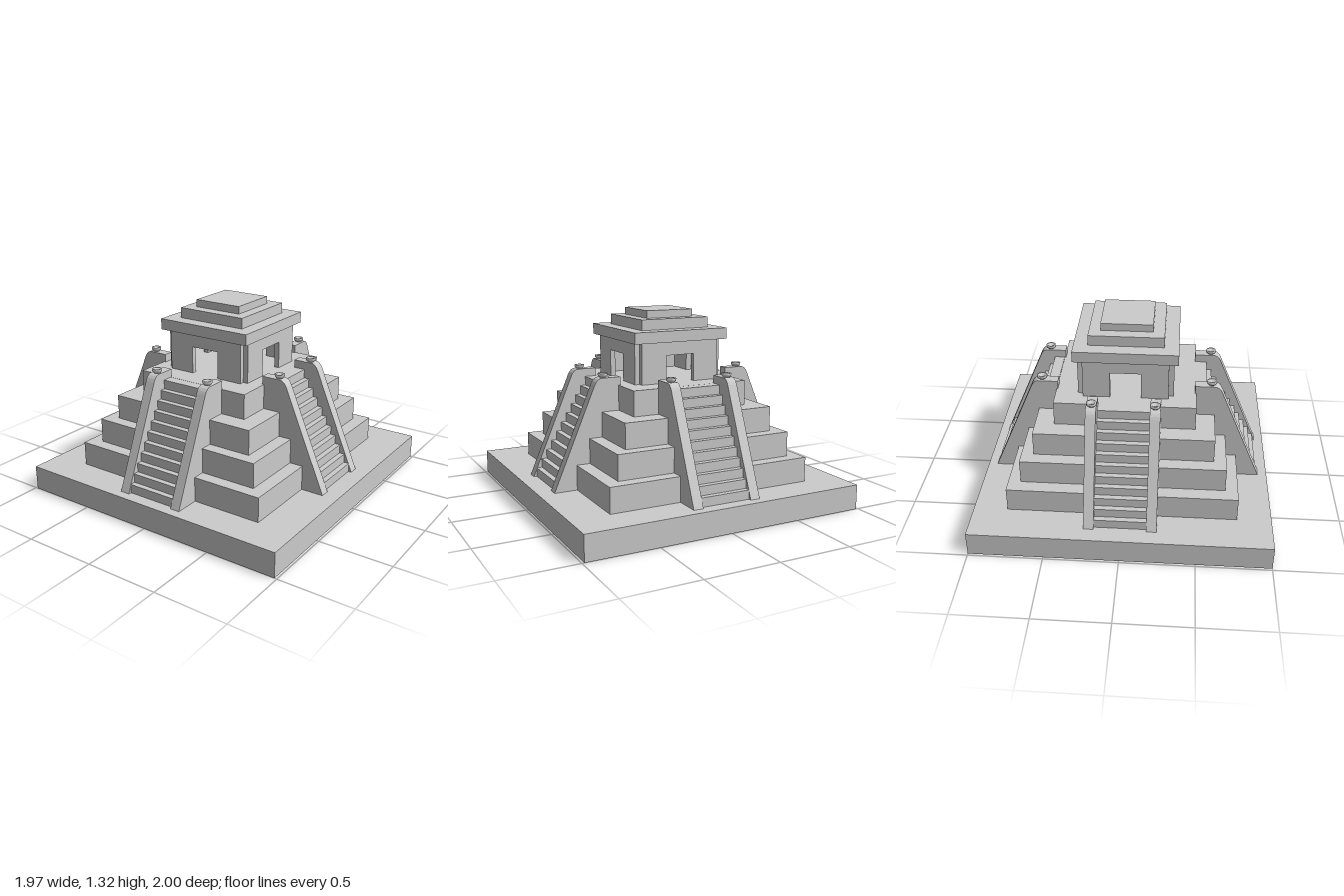
import * as THREE from 'three';

export function createModel() {
  const model = new THREE.Group();
  model.name = 'steppedPyramid';
  const stone = new THREE.MeshStandardMaterial({ color: 0xcccccc, flatShading: true });
  const shell = new THREE.MeshStandardMaterial({ color: 0xcccccc, flatShading: true, side: THREE.DoubleSide });
  const smooth = new THREE.MeshStandardMaterial({ color: 0xcccccc, side: THREE.DoubleSide });

  const add = (parent, name, geometry, material = stone) => {
    const mesh = new THREE.Mesh(geometry, material);
    mesh.name = name;
    parent.add(mesh);
    return mesh;
  };
  // Box given by half width, half depth, bottom and top
  const block = (parent, name, hx, hz, y0, y1) => {
    const mesh = add(parent, name, new THREE.BoxGeometry(2 * hx, y1 - y0, 2 * hz));
    mesh.position.y = (y0 + y1) / 2;
    return mesh;
  };
  // Side profile (outward, up) extruded across a width centred on x
  const profile = (points, width, x) => {
    const shape = new THREE.Shape(points.map(([a, b]) => new THREE.Vector2(a, b)));
    return new THREE.ExtrudeGeometry(shape, { depth: width, bevelEnabled: false })
      .translate(0, 0, -width / 2).rotateY(-Math.PI / 2).translate(x, 0, 0);
  };

  const ground = 0.17, deck = 0.845;

  // Plinth: hollow underneath, so the box loses its bottom face
  const plinth = new THREE.BoxGeometry(1.97, ground, 2).translate(0, ground / 2, 0);
  const index = Array.from(plinth.index.array);
  index.splice(18, 6);
  plinth.setIndex(index);
  add(model, 'plinth', plinth, shell);

  // Four stacked terraces
  const tiers = [[0.723, 0.77], [0.63, 0.685], [0.54, 0.602], [0.418, 0.472]];
  const rise = (deck - ground) / tiers.length;
  tiers.forEach(([hx, hz], i) =>
    block(model, 'terrace' + (i + 1), hx, hz, ground + i * rise, ground + (i + 1) * rise));

  // One staircase with balustrades and bowls on each of the four sides
  const steps = 11, run = 0.0373, stepRise = (deck - ground) / steps;
  const bowlPoints = [[0, 0.895], [0.02, 0.895], [0.022, 0.903], [0.032, 0.912], [0.033, 0.927],
    [0.022, 0.927], [0.016, 0.916], [0, 0.914]].map(([r, y]) => new THREE.Vector2(r, y));
  for (let k = 0; k < 4; k++) {
    const side = new THREE.Group();
    side.name = ['front', 'left', 'back', 'right'][k] + 'Stairway';
    side.rotation.y = k * Math.PI / 2;
    const out = k % 2 ? 0 : 0.058;
    const stairs = [[0.4 + out, ground]];
    for (let i = 0; i < steps; i++) {
      const z = 0.858 + out - i * run;
      stairs.push([z, ground + i * stepRise], [z, ground + (i + 1) * stepRise]);
    }
    stairs.push([0.416 + out, deck], [0.416 + out, ground]);
    stairs.shift();
    add(side, 'steps', profile(stairs, 0.35, 0));

    const rail = [[0.405, ground], [0.88, ground], [0.587, 0.858], [0.577, 0.876],
      [0.563, 0.891], [0.545, 0.9], [0.405, 0.9]].map(([a, b]) => [a + out, b]);
    for (const s of [-1, 1]) {
      add(side, 'balustrade', profile(rail, 0.068, s * 0.207));
      add(side, 'bowl', new THREE.LatheGeometry(bowlPoints, 20), smooth)
        .position.set(s * 0.205, 0, 0.515 + out);
    }
    model.add(side);
  }

  // Temple: four walls with doorways, leaving notched corners
  const temple = new THREE.Group();
  temple.name = 'temple';
  const eaves = 1.12, hw = 0.285, door = 0.103, lintel = 1.03;
  const wall = [[-hw, deck], [-door, deck], [-door, lintel], [door, lintel], [door, deck],
    [hw, deck], [hw, eaves], [-hw, eaves]];
  const wallShape = new THREE.Shape(wall.map(([x, y]) => new THREE.Vector2(x, y)));
  for (let k = 0; k < 4; k++) {
    const geometry = new THREE.ExtrudeGeometry(wallShape, { depth: 0.035, bevelEnabled: false })
      .translate(0, 0, hw);
    add(temple, 'doorWall', geometry).rotation.y = k * Math.PI / 2;
  }
  // Stepped roof
  block(temple, 'roofCornice', 0.346, 0.346, eaves, 1.195);
  block(temple, 'roofMiddle', 0.25, 0.25, 1.195, 1.266);
  block(temple, 'roofTop', 0.173, 0.173, 1.266, 1.317);
  model.add(temple);

  return model;
}
